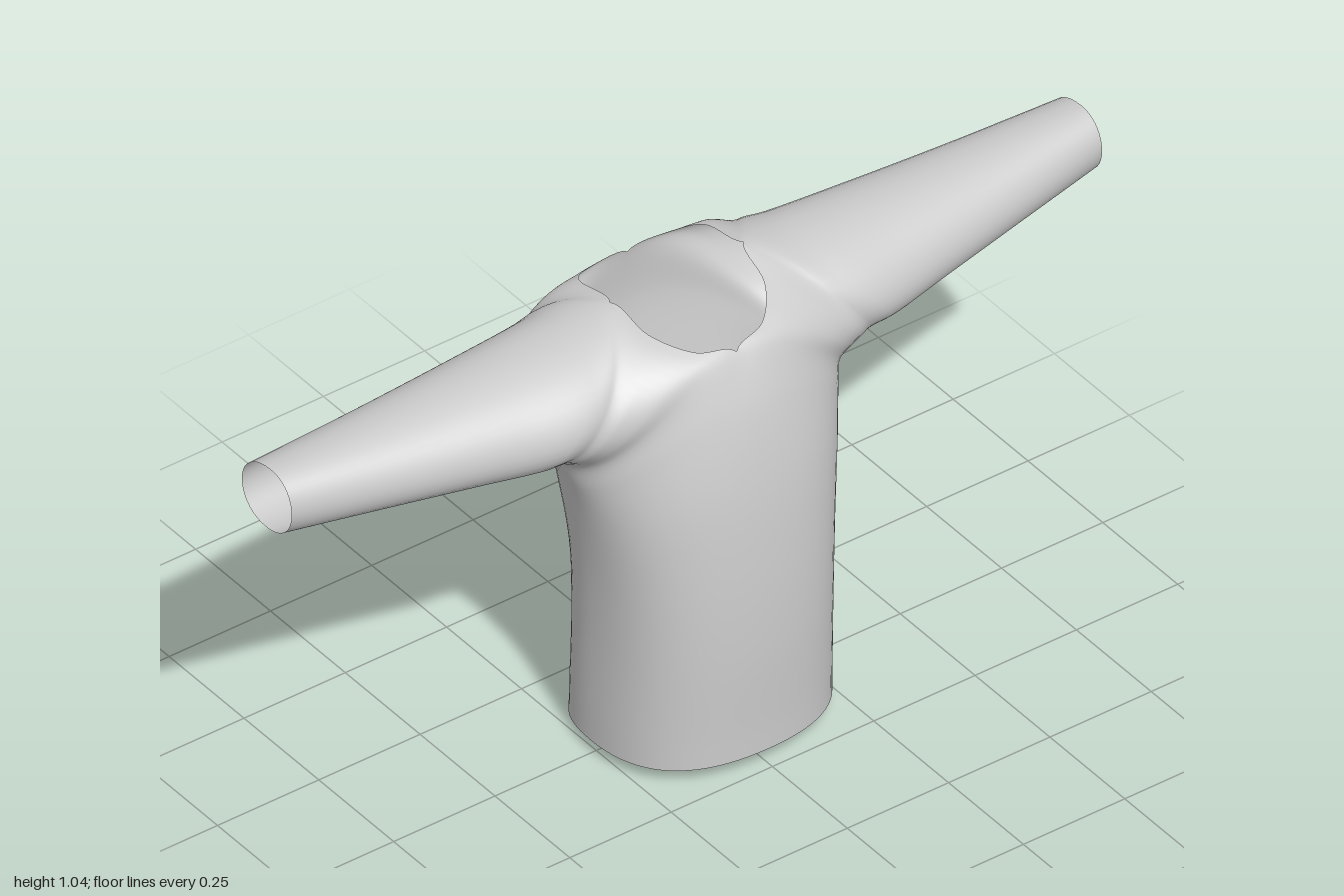
import * as THREE from 'three';
import { mergeVertices } from 'three/addons/utils/BufferGeometryUtils.js';

const V = (x, y, z) => new THREE.Vector3(x, y, z);
const mix = THREE.MathUtils.lerp;
const SHOULDER_Z = -0.07;

// Each station is half a ring: front edge, two handles, side seam, two handles, back edge.
// Torso station: centre height, side height, half width, front z, back z
function torso([yc, ys, w, zf, zb]) {
  const k = 0.66;
  return [V(0, yc, zf), V(w * k, yc, zf), V(w, ys, zf * k), V(w, ys, 0),
    V(w, ys, zb * k), V(w * k, yc, zb), V(0, yc, zb)];
}

// Hem: slightly high in front, dipping at the back corners
function hem() {
  const ring = torso([0.04, 0.03, 0.262, 0.24, -0.21]);
  ring[5].y = -0.025;
  ring[6].y = 0.015;
  return ring;
}

// Yoke station: runs round the neckline (t = 0 centre, 1 shoulder) and under the armpit
function yoke(t) {
  const s = Math.sin(t * Math.PI / 2), c = Math.max(0, Math.cos(t * Math.PI / 2));
  const front = V(0.165 * s, 0.965 + 0.075 * t ** 1.3, SHOULDER_Z + 0.2 * c);
  const back = V(0.165 * Math.sqrt(s), 0.99 + 0.05 * t ** 1.5, SHOULDER_Z - 0.165 * Math.sqrt(c));
  const armpit = V(mix(0.325, 0.4, t), 0.745 + 0.04 * Math.sqrt(t), mix(-0.03, -0.065, t));
  const x = mix(0.17, 0.245, t);
  return [front, V(x, front.y - 0.02, mix(0.17, 0.12, t)),
    V(armpit.x, armpit.y, mix(0.14, 0.2, t)), armpit,
    V(armpit.x, armpit.y, mix(-0.2, -0.28, t)), V(x, back.y - 0.02, mix(-0.25, -0.28, t)), back];
}

// Sleeve station: t = 0 upper arm, 1 cuff
function sleeve(t) {
  const xt = mix(0.27, 1, t), xb = mix(0.46, 1, t);
  const top = 1 + 0.025 * (1 - t) ** 2, bottom = mix(0.79, 0.848, t);
  const f = (mix(0.105, 0, t) - SHOULDER_Z) * 4 / 3;
  const b = (mix(-0.217, -0.166, t) - SHOULDER_Z) * 4 / 3;
  const droop = 0.18 * (1 - t);
  return [V(xt, top, SHOULDER_Z), V(xt, top, SHOULDER_Z + f * (1 - droop)),
    V(xb, bottom, SHOULDER_Z + f * (1 + droop)), V(xb, bottom, SHOULDER_Z - 0.02 * t),
    V(xb, bottom, SHOULDER_Z + b), V(xt, top, SHOULDER_Z + b), V(xt, top, SHOULDER_Z)];
}

const body = [
  [0.1, 0.1, 0.262, 0.241, -0.205],
  [0.3, 0.3, 0.262, 0.247, -0.193],
  [0.5, 0.46, 0.27, 0.241, -0.193],
  [0.7, 0.6, 0.288, 0.22, -0.225],
  [0.86, 0.695, 0.308, 0.182, -0.245],
].map(torso);
const stations = [hem(), ...body, ...[0, 1 / 3, 2 / 3, 1].map(yoke), ...[0, 0.25, 0.6, 1].map(sleeve)];
const shoulder = body.length + 4; // station where the front and back edges meet

function buildGarment() {
  const rails = stations[0].map((_, i) => new THREE.CatmullRomCurve3(stations.map((s) => s[i])));
  const steps = 7, rows = (stations.length - 1) * steps, half = 20, cols = half * 2;
  const positions = [], indices = [];
  for (const side of [1, -1]) {
    const base = positions.length / 3;
    for (let i = 0; i <= rows; i++) {
      const c = rails.map((r) => r.getPoint(i / rows));
      if (i >= shoulder * steps) {
        c[0].z = SHOULDER_Z;
        c[6].copy(c[0]);
      }
      const front = new THREE.CubicBezierCurve3(c[0], c[1], c[2], c[3]);
      const back = new THREE.CubicBezierCurve3(c[3], c[4], c[5], c[6]);
      for (let j = 0; j <= cols; j++) {
        const p = j <= half ? front.getPoint(j / half) : back.getPoint((j - half) / half);
        positions.push(side * Math.max(0, p.x), Math.max(0, p.y), p.z);
      }
    }
    for (let i = 0; i < rows; i++) {
      for (let j = 0; j < cols; j++) {
        const a = base + i * (cols + 1) + j, b = a + 1, d = a + cols + 1, e = d + 1;
        if (side > 0) indices.push(a, b, d, b, e, d);
        else indices.push(a, d, b, b, d, e);
      }
    }
  }
  const geometry = new THREE.BufferGeometry();
  geometry.setAttribute('position', new THREE.Float32BufferAttribute(positions, 3));
  geometry.setIndex(indices);
  // weld the centre and sleeve seams for smooth shading
  const welded = mergeVertices(geometry, 1e-5);
  welded.computeVertexNormals();
  return welded;
}

export function createModel() {
  const group = new THREE.Group();
  group.name = 'longSleevedTop';
  const material = new THREE.MeshStandardMaterial({ color: 0xcccccc, side: THREE.DoubleSide });
  const garment = new THREE.Mesh(buildGarment(), material);
  garment.name = 'bodyAndSleeves';
  group.add(garment);
  return group;
}
